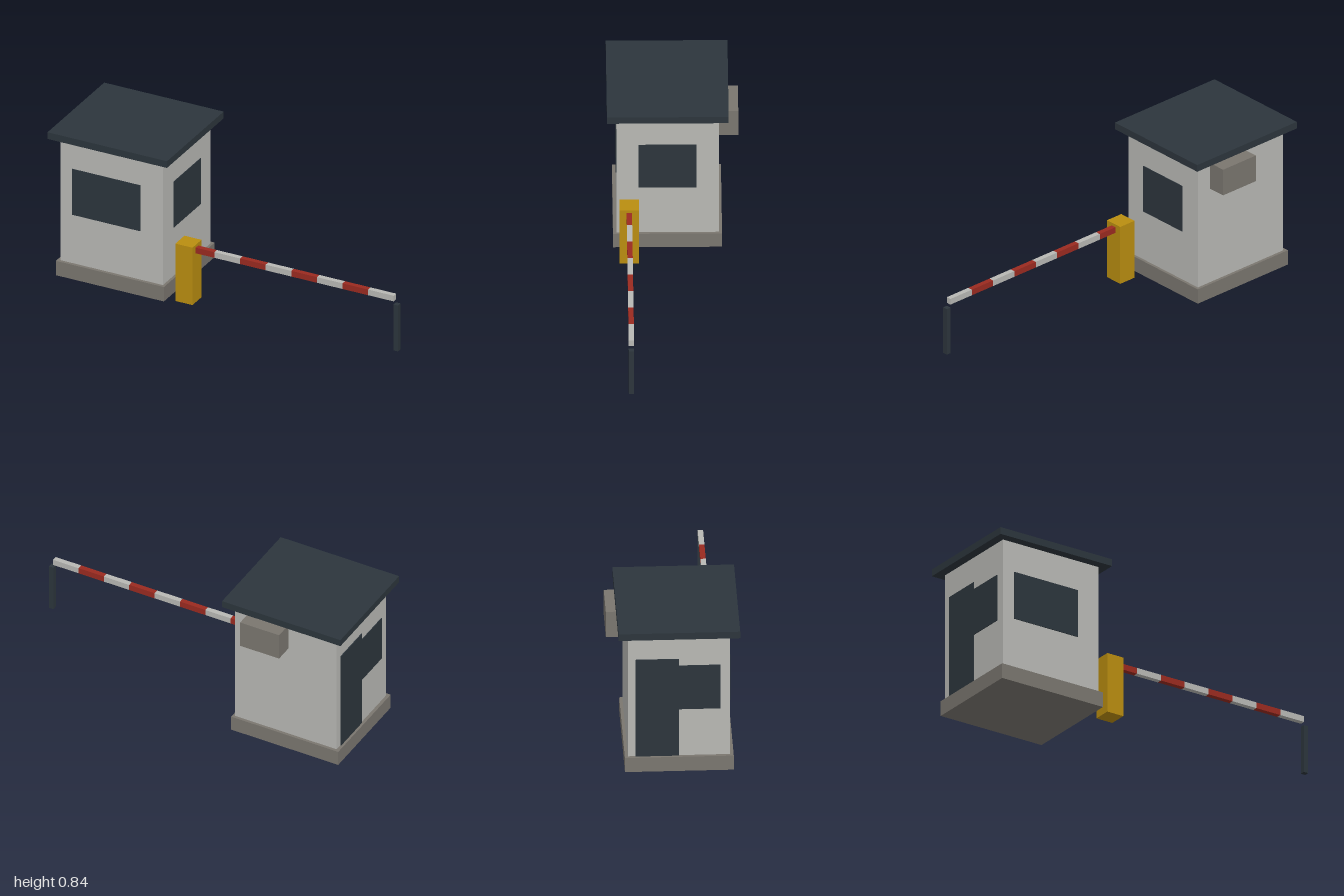
import * as THREE from 'three';

const flat = (name, color) => {
  const m = new THREE.MeshStandardMaterial({ color });
  m.name = name;
  return m;
};

export function createModel() {
  const wall = flat('paleGrey', 0xb8b8b4);
  const stone = flat('stoneGrey', 0x7a766f);
  const dark = flat('darkSlate', 0x2c353c);
  const yellow = flat('yellow', 0xb98d10);
  const red = flat('red', 0x9a2a20);

  const model = new THREE.Group();
  model.name = 'gatehouse';

  // Box given by its [min, max] range on each axis
  const box = (name, material, [x0, x1], [y0, y1], [z0, z1], parent = model) => {
    const mesh = new THREE.Mesh(new THREE.BoxGeometry(x1 - x0, y1 - y0, z1 - z0), material);
    mesh.position.set((x0 + x1) / 2, (y0 + y1) / 2, (z0 + z1) / 2);
    mesh.name = name;
    parent.add(mesh);
  };

  // Booth
  const booth = new THREE.Group();
  booth.name = 'booth';
  model.add(booth);
  box('plinth', stone, [-0.968, -0.335], [0, 0.084], [-0.256, 0.309], booth);
  box('walls', wall, [-0.95, -0.35], [0.084, 0.803], [-0.24, 0.291], booth);
  box('roof', dark, [-1, -0.3], [0.803, 0.842], [-0.29, 0.341], booth);
  box('airConditioner', stone, [-0.665, -0.435], [0.635, 0.786], [-0.341, -0.24], booth);

  // Windows and door, thin plates on the walls
  const sill = [0.368, 0.635];
  box('frontWindow', dark, [-0.882, -0.482], sill, [0.29, 0.295], booth);
  box('gateSideWindow', dark, [-0.351, -0.346], sill, [-0.124, 0.176], booth);
  box('doorSideWindow', dark, [-0.954, -0.949], [0.36, 0.62], [0.02, 0.24], booth);
  box('door', dark, [-0.955, -0.949], [0.084, 0.66], [-0.2, 0.026], booth);

  // Barrier with a striped arm
  const barrier = new THREE.Group();
  barrier.name = 'barrier';
  model.add(barrier);
  box('barrierPost', yellow, [-0.285, -0.185], [0, 0.335], [0.175, 0.276], barrier);
  const armZ = [0.212, 0.24];
  for (let i = 0; i < 8; i++) {
    const x = -0.225 + i * 0.15;
    box(i % 2 ? 'armWhiteStripe' : 'armRedStripe', i % 2 ? wall : red,
      [x, x + 0.15], [0.286, 0.319], armZ, barrier);
  }
  box('armRest', dark, [0.973, 1], [0, 0.268], armZ, barrier);

  return model;
}
